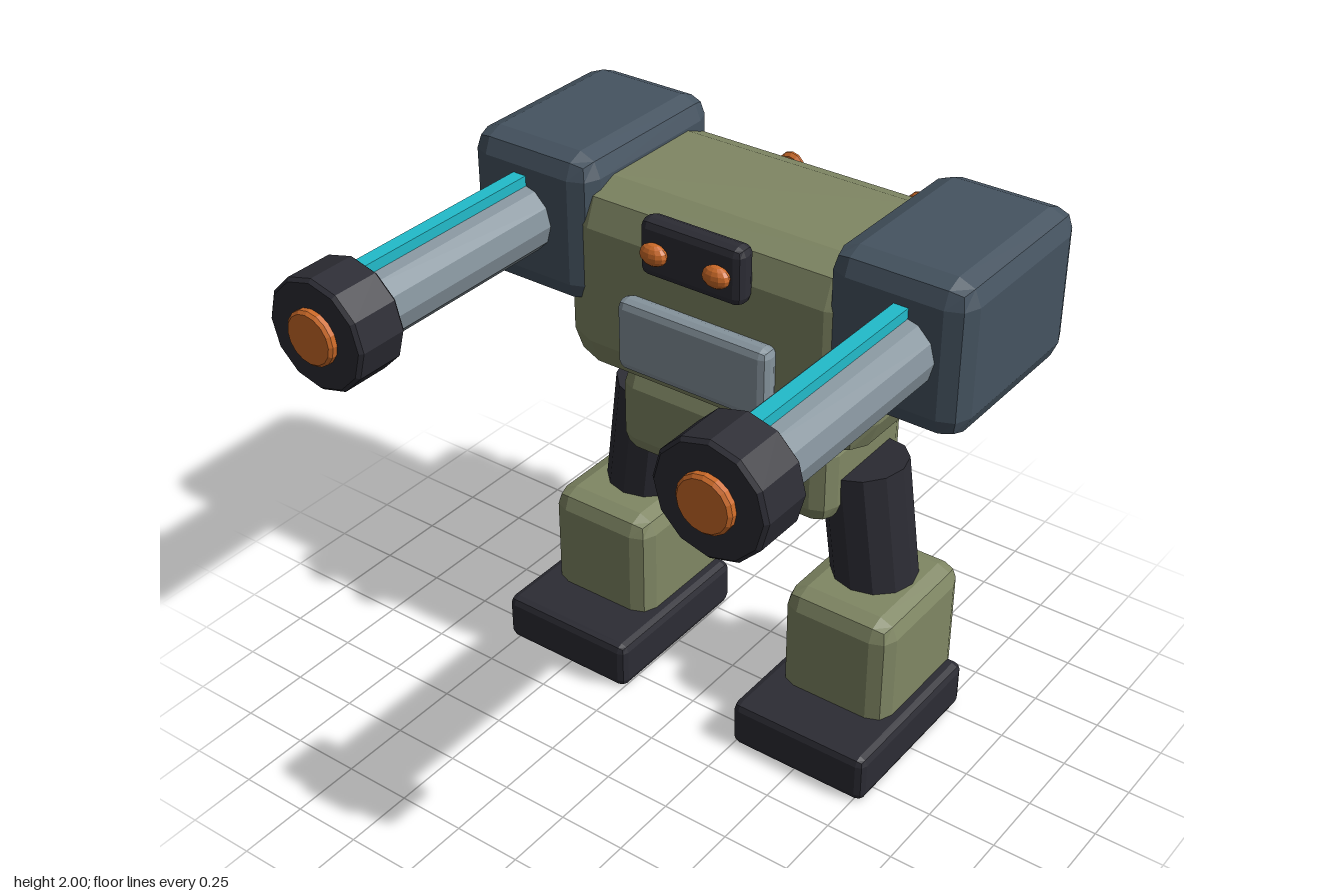
import * as THREE from 'three';
import { RoundedBoxGeometry } from 'three/addons/geometries/RoundedBoxGeometry.js';

const mat = (name, color) => {
  const m = new THREE.MeshStandardMaterial({ color });
  m.name = name;
  return m;
};

export function createModel() {
  const olive = mat('olive armour', 0x808764);
  const dark = mat('dark rubber', 0x2c2c34);
  const slate = mat('slate plating', 0x455360);
  const steel = mat('steel', 0x85939c);
  const cyan = mat('cyan glow', 0x22bccb);
  const orange = mat('orange light', 0xcc6a28);

  const model = new THREE.Group();
  model.name = 'walkerRobot';

  // Faceted shading: one normal per face
  const facet = (geometry) => {
    const g = geometry.index ? geometry.toNonIndexed() : geometry;
    g.computeVertexNormals();
    return g;
  };

  const add = (name, geometry, material, x = 0, y = 0, z = 0) => {
    const mesh = new THREE.Mesh(facet(geometry), material);
    mesh.name = name;
    mesh.position.set(x, y, z);
    model.add(mesh);
    return mesh;
  };

  // Box with two-step bevelled edges, given by its limits on each axis
  const block = (name, material, [x0, x1], [y0, y1], [z0, z1], bevel) =>
    add(name, new RoundedBoxGeometry(x1 - x0, y1 - y0, z1 - z0, 1, bevel), material,
      (x0 + x1) / 2, (y0 + y1) / 2, (z0 + z1) / 2);

  // Chamfered disc along z, from z0 to z1
  const disc = (name, material, x, y, z0, z1, r, bevel, sides) => {
    const h = z1 - z0;
    const profile = [[0, 0], [r - bevel, 0], [r, bevel], [r, h - bevel], [r - bevel, h], [0, h]]
      .map(([a, b]) => new THREE.Vector2(a, b));
    const g = new THREE.LatheGeometry(profile, sides);
    g.rotateX(Math.PI / 2);
    return add(name, g, material, x, y, z0);
  };

  // Body
  block('torso', olive, [-0.605, 0.605], [1.2, 1.91], [-0.74, -0.045], 0.14);
  block('pelvis', olive, [-0.44, 0.44], [0.855, 1.2], [-0.655, -0.15], 0.07);
  block('chestPlate', steel, [-0.3, 0.3], [1.325, 1.59], [-0.055, 0.025], 0.03);
  block('visor', dark, [-0.2, 0.2], [1.715, 1.92], [-0.06, 0.025], 0.03);
  block('backpack', slate, [-0.415, 0.415], [1.215, 1.72], [-0.945, -0.65], 0.06);

  for (const side of [-1, 1]) {
    const label = side > 0 ? 'left' : 'right';
    const span = (a, b) => (side > 0 ? [a, b] : [-b, -a]);

    // Eye
    const eye = new THREE.SphereGeometry(1, 12, 8);
    eye.scale(0.052, 0.039, 0.03);
    add(label + 'Eye', eye, orange, side * 0.122, 1.82, 0.045);

    // Backpack studs
    for (const y of [1.3, 1.5, 1.695]) {
      disc(label + 'BackStud', orange, side * 0.265, y, -0.973, -0.94, 0.052, 0.012, 12);
    }

    // Shoulder and cannon
    block(label + 'Shoulder', slate, span(0.46, 0.965), [1.455, 2], [-0.752, -0.036], 0.08);
    const barrel = new THREE.CylinderGeometry(0.127, 0.127, 0.9, 12);
    barrel.rotateX(Math.PI / 2);
    add(label + 'Barrel', barrel, steel, side * 0.74, 1.733, 0.35);
    add(label + 'BarrelStrip', new THREE.BoxGeometry(0.052, 0.04, 0.9), cyan,
      side * 0.74, 1.87, 0.32);
    disc(label + 'Muzzle', dark, side * 0.74, 1.733, 0.745, 0.942, 0.196, 0.012, 12);
    disc(label + 'MuzzleLight', orange, side * 0.74, 1.733, 0.93, 0.97, 0.096, 0.01, 16);

    // Thigh leaning in towards the pelvis
    const top = new THREE.Vector3(side * 0.437, 1.027, -0.39);
    const bottom = new THREE.Vector3(side * 0.52, 0.4, -0.4);
    const axis = top.clone().sub(bottom);
    const thigh = add(label + 'Thigh',
      new THREE.CylinderGeometry(0.154, 0.154, axis.length(), 12), dark);
    thigh.position.copy(top).add(bottom).multiplyScalar(0.5);
    thigh.quaternion.setFromUnitVectors(new THREE.Vector3(0, 1, 0), axis.normalize());

    // Shin guard and foot
    block(label + 'Shin', olive, span(0.295, 0.73), [0.085, 0.585], [-0.622, -0.105], 0.07);
    block(label + 'Foot', dark, span(0.24, 0.785), [0, 0.185], [-0.573, 0.1], 0.03);
  }

  return model;
}
